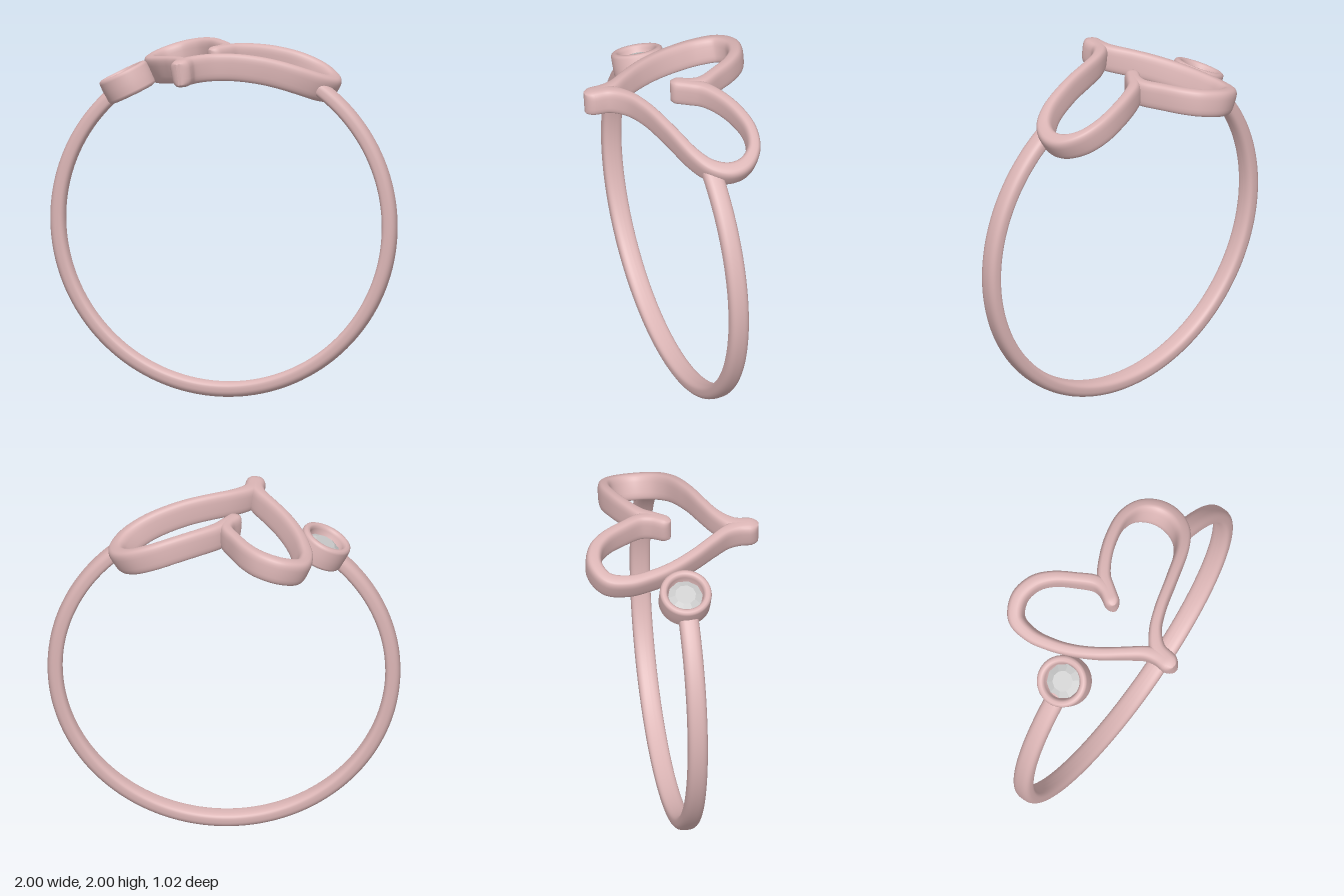
import * as THREE from 'three';

const metal = new THREE.MeshStandardMaterial({ color: 0xdbb5b5 });
const glass = new THREE.MeshStandardMaterial({ color: 0xcccccc, flatShading: true });

const BAND_Z = 0.022;
const BEND_Y = 0.73, BEND_R = 1.192; // arc that the heart is bent over
const HALF_H = 0.078; // half height of the heart wall

// Superellipse point, for softly rounded rectangular sections
function rounded(angle, a, b, power) {
  const f = (v) => Math.sign(v) * Math.abs(v) ** (2 / power);
  return [a * f(Math.cos(angle)), b * f(Math.sin(angle))];
}

// Strip swept along a flat path [x, z, halfWidth], then bent over the finger arc
function bentStrip(points) {
  const path = new THREE.CatmullRomCurve3(points.map(([x, z, w]) => new THREE.Vector3(x, w, z)), false, 'centripetal');
  const steps = 110, capSteps = 7, sides = 28;
  const rings = [];
  const addRing = (u, cap, dir) => {
    const p = path.getPoint(u);
    const t = path.getTangent(u).setY(0).normalize();
    const w = p.y;
    p.addScaledVector(t, dir * cap * w);
    rings.push({ p, t, w: w * Math.sqrt(Math.max(0, 1 - cap * cap)), h: HALF_H * (1 - 0.2 * cap * cap) });
  };
  const capAt = (k) => Math.sin((k / capSteps) * Math.PI / 2);
  for (let k = capSteps; k > 0; k--) addRing(0, capAt(k), -1);
  for (let i = 0; i <= steps; i++) addRing(i / steps, 0, 0);
  for (let k = 1; k <= capSteps; k++) addRing(1, capAt(k), 1);

  const pos = [], index = [];
  rings.forEach(({ p, t, w, h }, i) => {
    for (let j = 0; j < sides; j++) {
      const [a, b] = rounded((j / sides) * Math.PI * 2, w, h, 3.2);
      const x = p.x - t.z * a, z = p.z + t.x * a;
      const r = BEND_R + b, s = x / BEND_R;
      pos.push(r * s, BEND_Y + r * Math.sqrt(1 - s * s), z);
      if (i < rings.length - 1) {
        const n = (j + 1) % sides, A = i * sides, B = A + sides;
        index.push(A + j, B + j, A + n, A + n, B + j, B + n);
      }
    }
  });
  const geo = new THREE.BufferGeometry();
  geo.setAttribute('position', new THREE.Float32BufferAttribute(pos, 3));
  geo.setIndex(index);
  geo.computeVertexNormals();
  return geo;
}

function add(parent, name, geo, material) {
  const mesh = new THREE.Mesh(geo, material);
  mesh.name = name;
  parent.add(mesh);
  return mesh;
}

export function createModel() {
  const model = new THREE.Group();
  model.name = 'heartRing';

  // Band: flat inside, rounded outside, open under the heart
  const section = [];
  for (let j = 0; j <= 32; j++) {
    const [r, y] = rounded((j / 32) * Math.PI * 2 - Math.PI, 1, 0.057, 2.7);
    section.push(new THREE.Vector2(r > 0 ? 0.95 + r * 0.05 : 0.95 + r * 0.036, y));
  }
  const start = 0.6, end = Math.PI * 2 - 0.68;
  const band = add(model, 'band', new THREE.LatheGeometry(section, 140, start, end - start), metal);
  band.geometry.rotateX(-Math.PI / 2);
  band.position.set(0, 1, BAND_Z);

  // Heart: two lobes sharing the inner tail and the outer tip
  const heart = new THREE.Group();
  heart.name = 'heart';
  model.add(heart);
  add(heart, 'leftLobe', bentStrip([
    [-0.055, -0.02, 0.045], [-0.01, -0.08, 0.04], [0.03, -0.135, 0.04], [0.12, -0.195, 0.037],
    [0.25, -0.25, 0.036], [0.39, -0.277, 0.036], [0.5, -0.25, 0.038], [0.57, -0.17, 0.042],
    [0.583, -0.07, 0.043], [0.54, 0.03, 0.042], [0.45, 0.1, 0.038], [0.26, 0.17, 0.034],
    [0.07, 0.23, 0.033], [-0.05, 0.285, 0.036], [-0.135, 0.365, 0.047], [-0.16, 0.452, 0.057],
  ]), metal);
  add(heart, 'rightLobe', bentStrip([
    [-0.055, -0.02, 0.045], [-0.025, -0.085, 0.04], [-0.02, -0.15, 0.038], [-0.07, -0.255, 0.036],
    [-0.14, -0.37, 0.038], [-0.22, -0.44, 0.043], [-0.33, -0.463, 0.046], [-0.43, -0.41, 0.043],
    [-0.458, -0.29, 0.038], [-0.44, -0.16, 0.035], [-0.4, -0.03, 0.034], [-0.33, 0.11, 0.034],
    [-0.25, 0.23, 0.034], [-0.19, 0.32, 0.038], [-0.165, 0.39, 0.048], [-0.16, 0.452, 0.057],
  ]), metal);

  // Round tilted setting with an open bottom
  const setting = new THREE.Group();
  setting.name = 'stoneSetting';
  setting.position.set(-0.558, 1.782, 0.018);
  setting.rotation.z = 0.46;
  model.add(setting);
  const profile = [
    [0.075, -0.062], [0.085, -0.073], [0.125, -0.073], [0.14, -0.067], [0.147, -0.052], [0.148, 0],
    [0.148, 0.052], [0.144, 0.066], [0.133, 0.073], [0.118, 0.073], [0.108, 0.065], [0.103, 0.05],
    [0.1, 0.02], [0.088, 0], [0.076, -0.03], [0.075, -0.062],
  ].map(([r, y]) => new THREE.Vector2(r, y));
  add(setting, 'bezel', new THREE.LatheGeometry(profile, 56), metal);

  // Faceted stone: point, girdle, crown and table
  const cut = [[0, -0.055], [0.1, 0.01], [0.1, 0.018], [0.06, 0.04], [0, 0.04]];
  add(setting, 'stone', new THREE.LatheGeometry(cut.map(([r, y]) => new THREE.Vector2(r, y)), 10), glass);

  return model;
}
